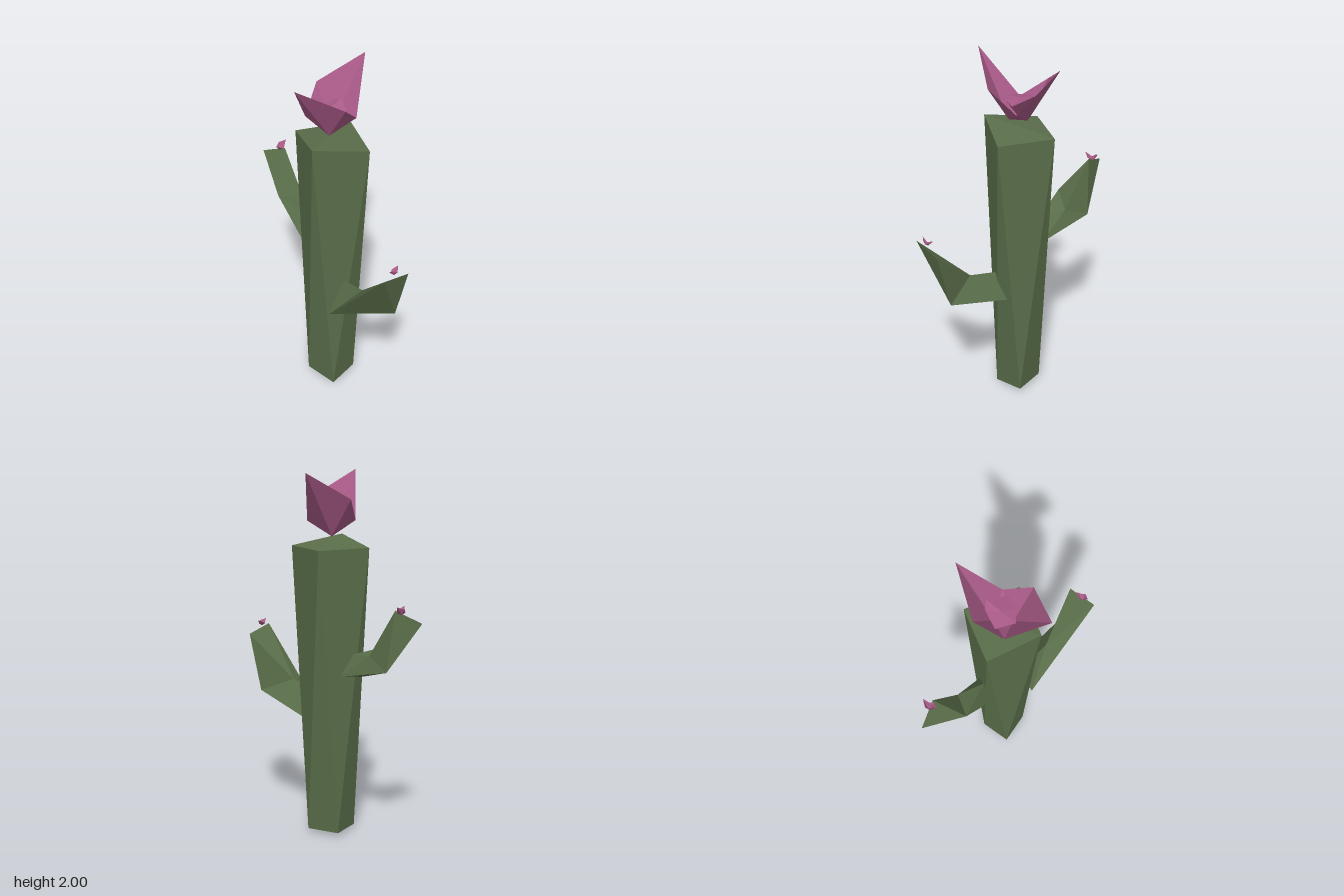
import * as THREE from 'three';

const green = new THREE.MeshStandardMaterial({ color: 0x5a6e4a, flatShading: true, side: THREE.DoubleSide });
green.name = 'cactusGreen';
const pink = new THREE.MeshStandardMaterial({ color: 0xa85a87, flatShading: true, side: THREE.DoubleSide });
pink.name = 'petalPink';

// Flat-shaded mesh from named corner points and a list of triangles such as 'A B C'
function facets(name, material, points, triangles) {
  const positions = triangles.flatMap((t) => t.split(' ').flatMap((key) => points[key]));
  const geometry = new THREE.BufferGeometry();
  geometry.setAttribute('position', new THREE.Float32BufferAttribute(positions, 3));
  geometry.computeVertexNormals();
  const mesh = new THREE.Mesh(geometry, material);
  mesh.name = name;
  return mesh;
}

// Twisted four-sided trunk, joined from a bottom ring and a top ring
function makeTrunk() {
  const points = {
    b0: [-0.06, 0, 0.11], b1: [0.115, 0.02, 0.07], b2: [0.06, 0.02, -0.105], b3: [-0.11, 0.02, -0.07],
    t0: [0.1, 1.6, 0.2], t1: [0.195, 1.6, -0.09], t2: [-0.09, 1.6, -0.19], t3: [-0.18, 1.65, 0.09],
  };
  const triangles = ['t0 t1 t3', 't1 t2 t3', 'b0 b3 b1', 'b1 b3 b2'];
  for (let i = 0; i < 4; i++) {
    const j = (i + 1) % 4;
    triangles.push(`b${i} b${j} t${i}`, `b${j} t${j} t${i}`);
  }
  return facets('trunk', green, points, triangles);
}

// Lower arm, bent upward at the front
function makeFrontArm() {
  const points = {
    baseL: [-0.105, 0.57, 0.13], baseR: [0.075, 0.64, 0.13], baseT: [-0.015, 0.78, 0.145],
    out: [0.07, 0.74, 0.49], inn: [-0.015, 0.82, 0.31],
    tipL: [-0.09, 1.097, 0.588], tipR: [0.08, 1.06, 0.57],
  };
  return facets('frontArm', green, points, [
    'tipL out tipR', 'tipL baseL out', 'baseL baseR out',
    'baseR baseT inn', 'baseR inn out', 'out inn tipR',
    'tipR inn tipL', 'baseT baseL inn', 'inn baseL tipL',
  ]);
}

// Upper arm, bent upward at the back
function makeBackArm() {
  const points = {
    baseR: [0.06, 0.915, -0.12], baseL: [-0.08, 0.895, -0.15], baseT: [-0.01, 1.03, -0.15],
    out: [0.055, 0.985, -0.44], innR: [0.03, 1.05, -0.3], innL: [-0.105, 1.1, -0.355],
    tipIn: [0.02, 1.31, -0.465], tipOut: [-0.04, 1.25, -0.595],
  };
  return facets('backArm', green, points, [
    'baseR innR baseT', 'baseR out innR', 'out tipIn innR', 'out tipOut tipIn',
    'baseT innR innL', 'innR tipIn innL', 'innL tipIn tipOut',
    'out innL tipOut', 'baseL innL out', 'baseL baseT innL', 'baseR baseL out',
  ]);
}

// Flower with two mirrored pointed petals, a folded base and a small centre cup
function makeFlower(name) {
  const flower = new THREE.Group();
  flower.name = name;
  const points = {
    tip0: [-0.262, 0.34, 0.065], side0: [-0.03, 0.2, 0.167], low0: [-0.1, 0.08, -0.083], base0: [-0.035, 0, 0.035],
  };
  for (const key of ['tip', 'side', 'low', 'base']) {
    const [x, y, z] = points[key + 0];
    points[key + 1] = [-x, y, -z];
  }
  const triangles = [];
  for (const [a, b] of [[0, 1], [1, 0]]) {
    triangles.push(
      `tip${a} base${a} side${a}`, `tip${a} low${a} base${a}`,
      `side${a} base${a} low${b}`, `base${a} base${b} low${b}`,
    );
  }
  flower.add(facets('petals', pink, points, triangles));

  const rim = [
    [0.05, 0.11, 0.075], [0.09, 0.15, -0.03], [0.06, 0.13, -0.065],
    [-0.04, 0.11, -0.09], [-0.085, 0.11, 0.005], [-0.03, 0.11, 0.055],
  ];
  const cup = { foot: [0, 0.02, 0], mid: [0, 0.125, -0.01] };
  const sides = [];
  rim.forEach((p, i) => {
    const j = (i + 1) % rim.length;
    cup['r' + i] = p;
    sides.push(`mid r${i} r${j}`, `foot r${j} r${i}`);
  });
  flower.add(facets('flowerCentre', pink, cup, sides));
  return flower;
}

export function createModel() {
  const model = new THREE.Group();
  model.name = 'floweringCactus';
  model.add(makeTrunk(), makeFrontArm(), makeBackArm());

  // One large flower on the trunk and a tiny one on each arm
  const placements = [
    ['topFlower', [0, 1.66, 0], [1, 1, 1], 0],
    ['frontArmFlower', [-0.015, 1.1, 0.57], [0.14, 0.1, 0.13], -0.2],
    ['backArmFlower', [0.01, 1.29, -0.5], [0.16, 0.13, 0.16], 0.2],
  ];
  for (const [name, position, scale, tilt] of placements) {
    const flower = makeFlower(name);
    flower.position.set(...position);
    flower.scale.set(...scale);
    flower.rotation.x = tilt;
    model.add(flower);
  }
  return model;
}
